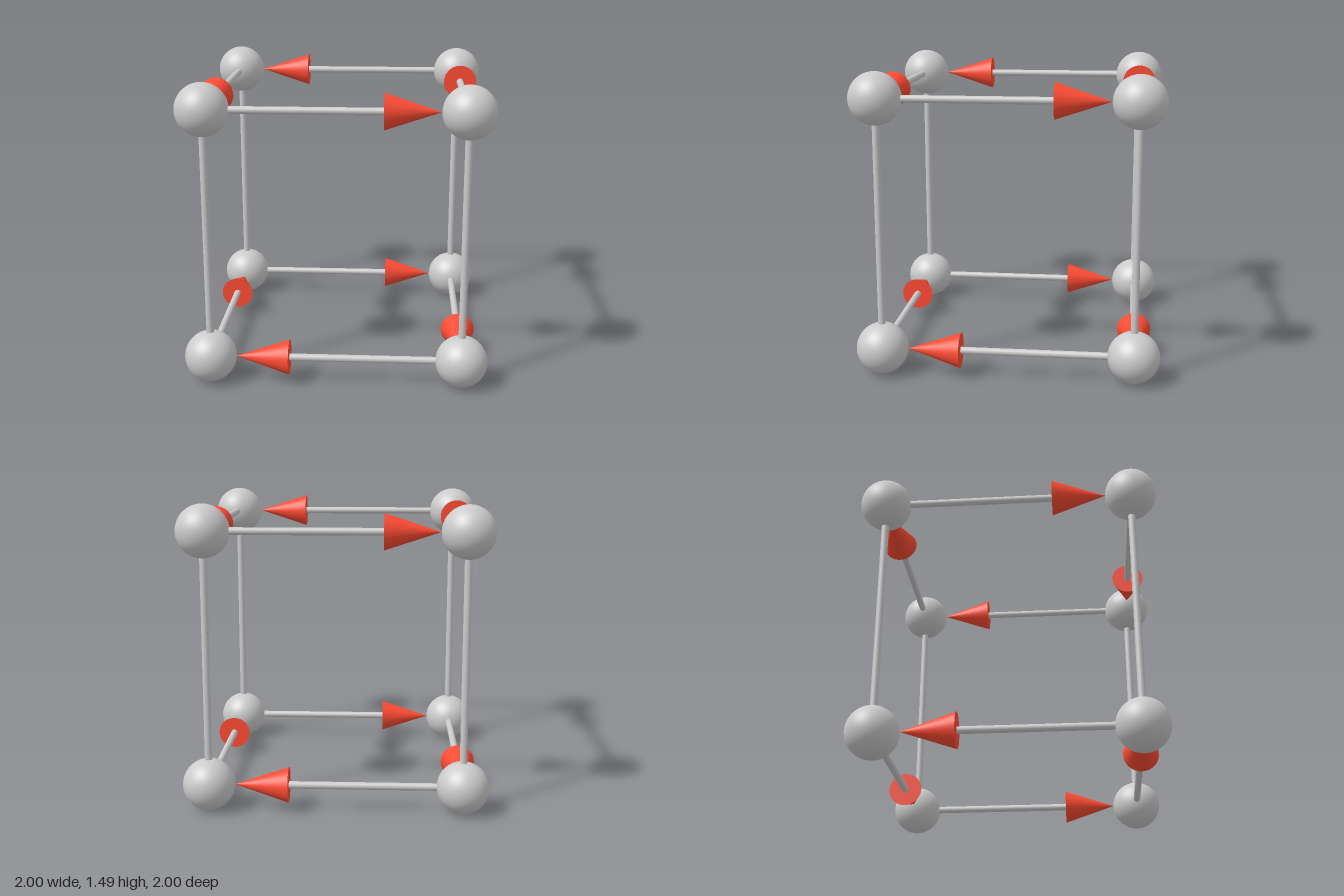
import * as THREE from 'three';

const BALL_R = 0.127, ROD_R = 0.018, CONE_R = 0.086, CONE_LEN = 0.264;
const RADIUS = 0.873;                    // ball centres from the vertical axis
const LOW = BALL_R, HIGH = LOW + RADIUS * Math.SQRT2;

export function createModel() {
  const model = new THREE.Group();
  const grey = new THREE.MeshStandardMaterial({ color: 0xcccccc });
  const red = new THREE.MeshStandardMaterial({ color: 0xff4b33 });
  const ballGeo = new THREE.SphereGeometry(BALL_R, 48, 32);
  const coneGeo = new THREE.ConeGeometry(CONE_R, CONE_LEN, 48);
  const up = new THREE.Vector3(0, 1, 0);

  // Places a y-aligned geometry at a point, turned along a direction
  function place(name, geometry, material, position, dir, parent) {
    const mesh = new THREE.Mesh(geometry, material);
    mesh.name = name;
    mesh.position.copy(position);
    mesh.quaternion.setFromUnitVectors(up, dir);
    parent.add(mesh);
  }

  function rod(name, a, b, parent) {
    const dir = b.clone().sub(a);
    const geo = new THREE.CylinderGeometry(ROD_R, ROD_R, dir.length(), 24);
    place(name, geo, grey, a.clone().lerp(b, 0.5), dir.normalize(), parent);
  }

  // Rod with a cone whose tip touches the surface of the target ball
  function arrow(name, from, to) {
    const group = new THREE.Group();
    group.name = name;
    const dir = to.clone().sub(from).normalize();
    const base = to.clone().addScaledVector(dir, -BALL_R - CONE_LEN);
    rod('arrowShaft', from, base, group);
    place('arrowHead', coneGeo, red, base.clone().addScaledVector(dir, CONE_LEN / 2), dir, group);
    model.add(group);
  }

  // Corners in order: front, left (+x), back, right (-x)
  const corner = (i, y) => {
    const [x, z] = [[0, 1], [1, 0], [0, -1], [-1, 0]][i % 4];
    return new THREE.Vector3(x * RADIUS, y, z * RADIUS);
  };

  // The upper ring of arrows turns one way, the lower ring the other
  for (let i = 0; i < 4; i++) {
    const low = corner(i, LOW), high = corner(i, HIGH);
    place('lowerBall', ballGeo, grey, low, up, model);
    place('upperBall', ballGeo, grey, high, up, model);
    rod('uprightRod', low, high, model);
    arrow('upperArrow', high, corner(i + 1, HIGH));
    arrow('lowerArrow', corner(i + 1, LOW), low);
  }
  return model;
}
